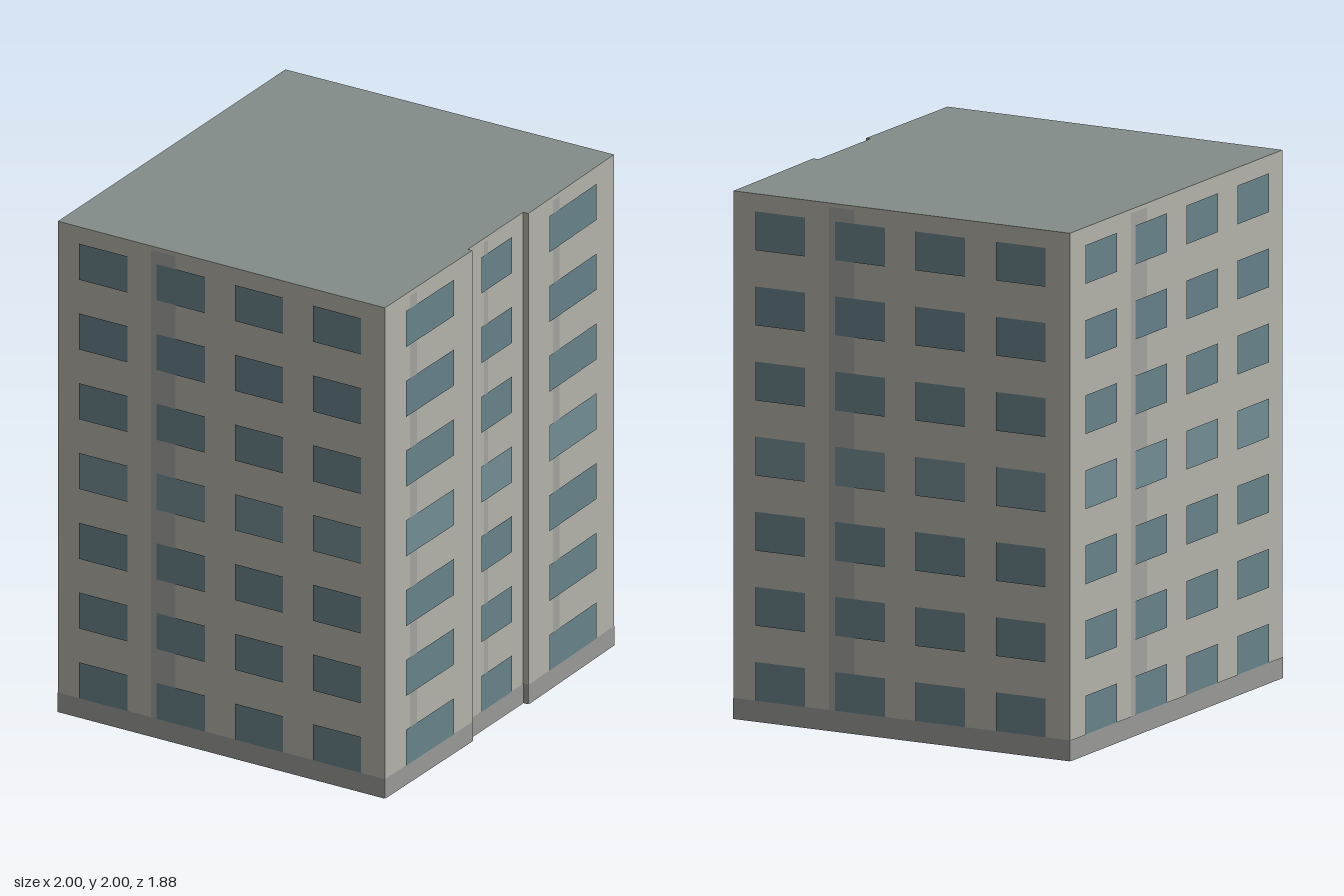
import * as THREE from 'three';

const HEIGHT = 2, FLOORS = 7, PITCH = 0.2845;
const mat = (color, side = THREE.FrontSide) => new THREE.MeshStandardMaterial({ color, side });

export function createModel() {
  const model = new THREE.Group();
  model.name = 'apartmentBlock';
  const wallMat = mat(0xb3b2a9, THREE.DoubleSide);
  const roofMat = mat(0x848c89, THREE.DoubleSide);
  const baseMat = mat(0x999a96);
  const streakMat = mat(0xa2a39e);
  const glassMats = [0x68828a, 0x68828a, 0x68828a, 0x738d95, 0x68828a, 0x66808a, 0x68828a].map((c) => mat(c));

  // Plan outline [x, z], each edge running left to right as seen from outside
  const D = [-0.475, 0.935], C = [0.994, 0.375], B = [0.46, -0.938], A = [-0.996, -0.385];
  const plan = [D, [0.08, 0.729], [0.073, 0.711], [0.427, 0.576], [0.437, 0.596], C, B, A];

  // Window spans and rain streak, as fractions of the wall's width
  const bay = { windows: [[0.23, 0.78]], streak: [0.28, 0.36] };
  const full = { windows: [[0.067, 0.215], [0.304, 0.452], [0.543, 0.69], [0.782, 0.93]], streak: [0.285, 0.36] };
  const plain = { windows: [] };
  const layout = [bay, plain, bay, plain, bay, full, full, full];
  const names = ['frontBayLeft', 'recessReturnLeft', 'frontRecess', 'recessReturnRight',
    'frontBayRight', 'sideWallRight', 'backWall', 'sideWallLeft'];

  plan.forEach((a, i) => {
    const b = plan[(i + 1) % plan.length];
    const dx = b[0] - a[0], dz = b[1] - a[1], width = Math.hypot(dx, dz);
    const wall = new THREE.Group();
    wall.name = names[i];
    wall.position.set(a[0], 0, a[1]);
    wall.rotation.y = Math.atan2(-dz, dx);
    model.add(wall);

    // Flat panel between fractions u0..u1 of the wall and heights y0..y1
    const panel = (name, material, [u0, u1], y0, y1, offset) => {
      const mesh = new THREE.Mesh(new THREE.PlaneGeometry((u1 - u0) * width, y1 - y0), material);
      mesh.name = name;
      mesh.position.set(((u0 + u1) / 2) * width, (y0 + y1) / 2, offset);
      wall.add(mesh);
    };

    panel('wall', wallMat, [0, 1], 0, HEIGHT, 0);
    panel('plinth', baseMat, [0, 1], 0, 0.08, 0.003);
    const { windows, streak } = layout[i];
    if (streak) panel('streak', streakMat, streak, 0.08, 1.985, 0.002);
    for (let f = 0; f < FLOORS; f++) {
      const y = 0.08 + f * PITCH;
      windows.forEach((span) => panel('window', glassMats[f], span, y, y + 0.147, 0.005));
    }
  });

  // Flat roof following the plan
  const shape = new THREE.Shape(plan.map(([x, z]) => new THREE.Vector2(x, -z)));
  const roof = new THREE.Mesh(new THREE.ShapeGeometry(shape).rotateX(-Math.PI / 2), roofMat);
  roof.name = 'roof';
  roof.position.y = HEIGHT;
  model.add(roof);

  return model;
}
